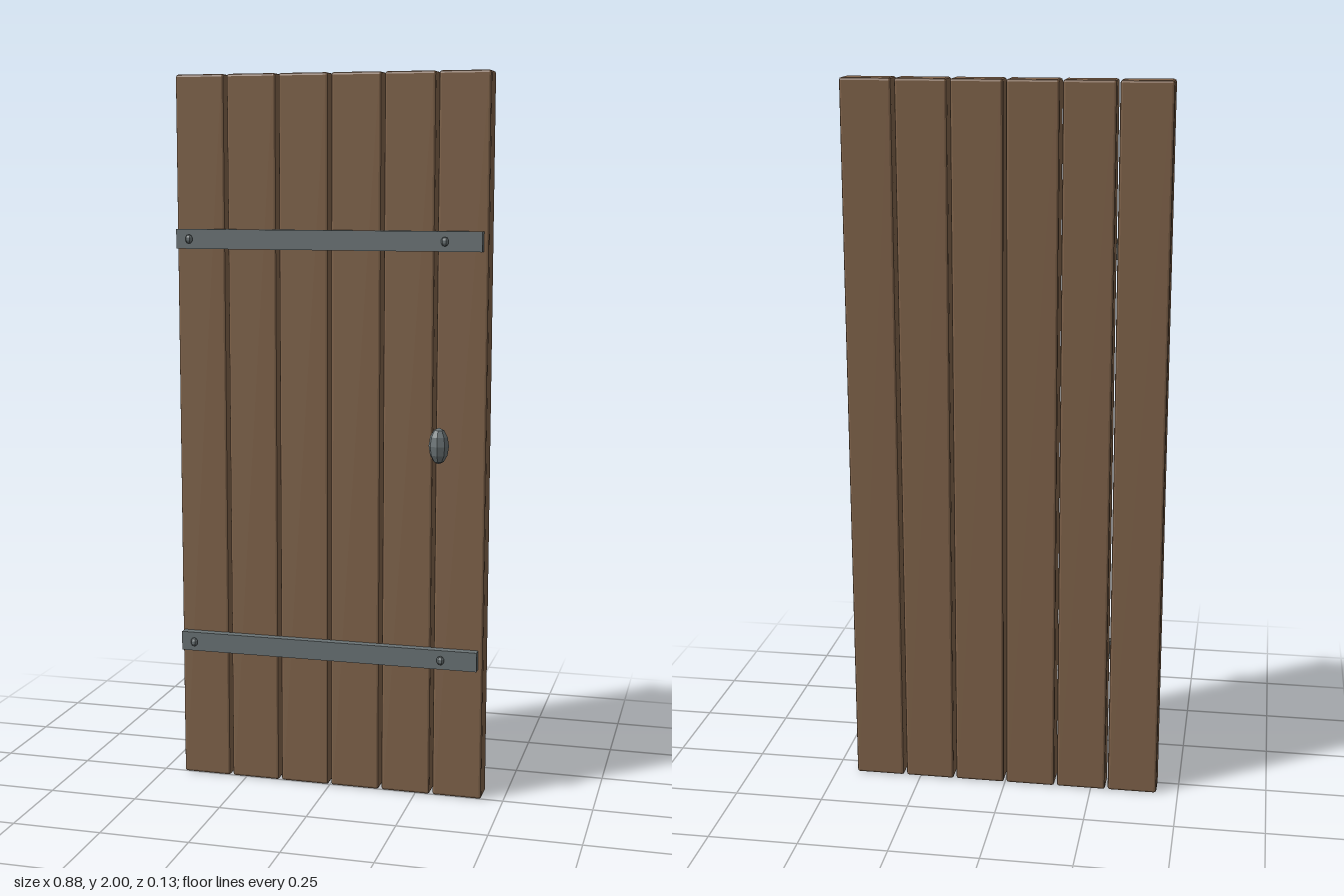
import * as THREE from 'three';
import { RoundedBoxGeometry } from 'three/addons/geometries/RoundedBoxGeometry.js';

export function createModel() {
  const door = new THREE.Group();
  door.name = 'plankDoor';
  const wood = new THREE.MeshStandardMaterial({ color: 0x80634a });
  wood.name = 'brownWood';
  const iron = new THREE.MeshStandardMaterial({ color: 0x6a7375 });
  iron.name = 'greyIron';

  const add = (name, geometry, material, x, y, z) => {
    const mesh = new THREE.Mesh(geometry, material);
    mesh.name = name;
    mesh.position.set(x, y, z);
    door.add(mesh);
  };

  // Faceted, flat-shaded ellipsoid
  const pebble = (rx, ry, rz, sides, rings) => {
    const g = new THREE.SphereGeometry(1, sides, rings).scale(rx, ry, rz).toNonIndexed();
    g.computeVertexNormals();
    return g;
  };

  // Six upright planks with chamfered edges
  const plank = new RoundedBoxGeometry(0.14, 2, 0.073, 1, 0.007);
  plank.computeVertexNormals();
  for (let i = 0; i < 6; i++) {
    add('plank' + (i + 1), plank, wood, (i - 2.5) * 0.1476, 1, -0.0315);
  }

  // Two iron straps, each held by two rivets
  const strap = new THREE.BoxGeometry(0.858, 0.054, 0.026);
  const rivet = pebble(0.011, 0.013, 0.01, 6, 5);
  for (const [level, y] of [['lower', 0.403], ['upper', 1.553]]) {
    add(level + 'Strap', strap, iron, -0.004, y, 0.017);
    add(level + 'RightRivet', rivet, iron, -0.394, y, 0.036);
    add(level + 'LeftRivet', rivet, iron, 0.325, y, 0.036);
  }

  // Oval door knob
  add('knob', pebble(0.028, 0.05, 0.027, 8, 6), iron, 0.315, 1.004, 0.038);

  return door;
}
